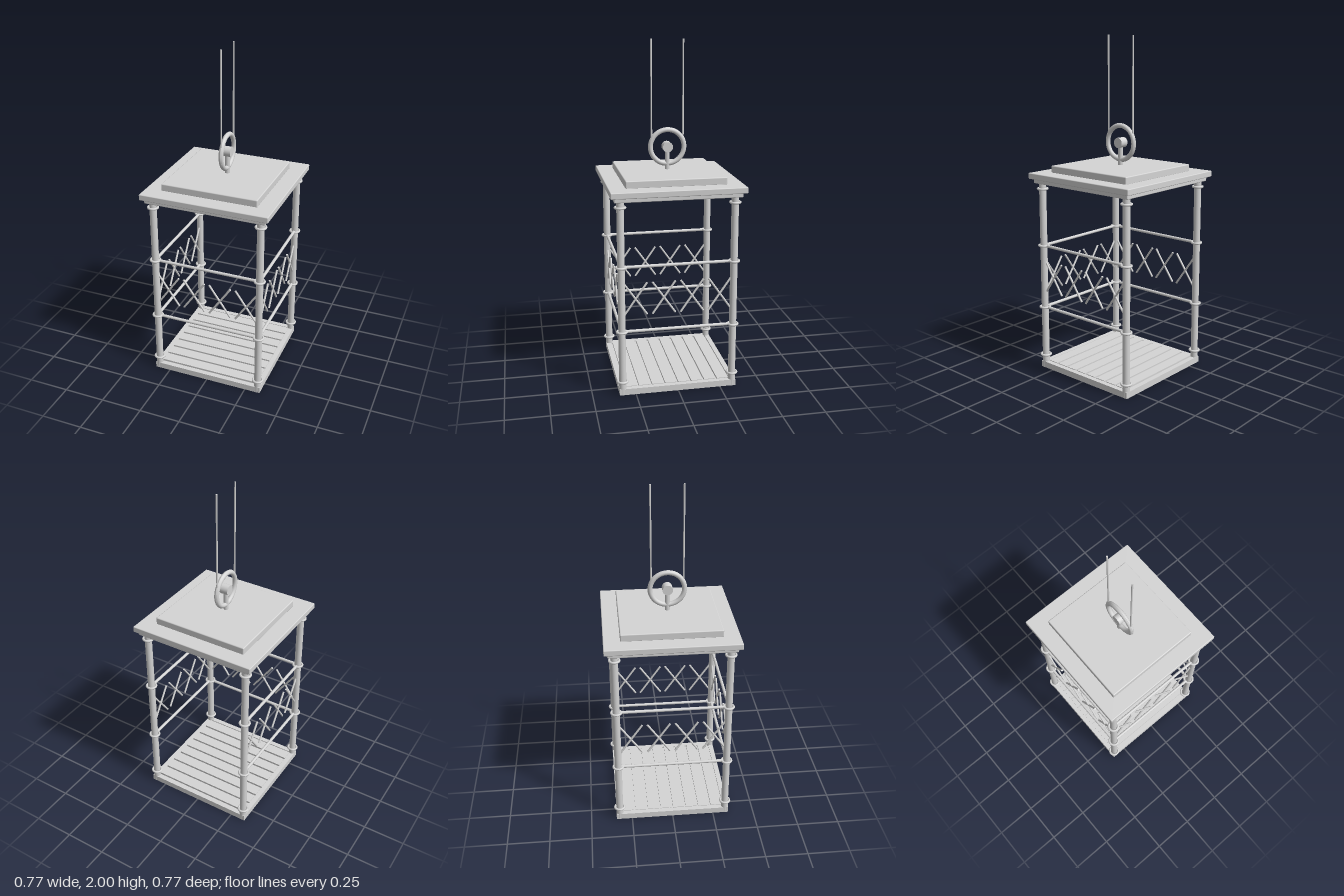
import * as THREE from 'three';
import { RoundedBoxGeometry } from 'three/addons/geometries/RoundedBoxGeometry.js';

export function createModel() {
  const root = new THREE.Group();
  const metal = new THREE.MeshStandardMaterial({ color: 0xd4d4d4 });
  metal.name = 'light grey metal';

  const add = (name, geometry, parent = root, x = 0, y = 0, z = 0) => {
    const mesh = new THREE.Mesh(geometry, metal);
    mesh.name = name;
    mesh.position.set(x, y, z);
    parent.add(mesh);
    return mesh;
  };
  const group = (name) => {
    const g = new THREE.Group();
    g.name = name;
    root.add(g);
    return g;
  };
  // Round bar between two points
  const bar = (name, a, b, radius, parent, sides = 16) => {
    const from = new THREE.Vector3(...a), to = new THREE.Vector3(...b);
    const dir = to.clone().sub(from);
    const mesh = add(name, new THREE.CylinderGeometry(radius, radius, dir.length(), sides), parent);
    mesh.position.copy(from).add(to).multiplyScalar(0.5);
    mesh.quaternion.setFromUnitVectors(new THREE.Vector3(0, 1, 0), dir.normalize());
  };
  // Slightly rounded slab, from y0 to y1
  const slab = (name, half, y0, y1, radius) =>
    add(name, new RoundedBoxGeometry(half * 2, y1 - y0, half * 2, 2, radius), root, 0, (y0 + y1) / 2, 0);

  const P = 0.325; // distance of the posts from the centre
  const railHeights = [0.387, 0.772];

  // Floor: plate, rim and planks running along x
  const floor = group('floor');
  add('floorPlate', new THREE.BoxGeometry(0.69, 0.028, 0.69), floor, 0, 0.014, 0);
  for (const s of [-1, 1]) {
    add('floorRim', new THREE.BoxGeometry(0.69, 0.037, 0.03), floor, 0, 0.0185, s * 0.33);
    add('floorRim', new THREE.BoxGeometry(0.03, 0.037, 0.63), floor, s * 0.33, 0.0185, 0);
  }
  for (let i = 0; i < 8; i++) {
    add('plank', new THREE.BoxGeometry(0.63, 0.015, 0.066), floor, 0, 0.033, (i - 3.5) * 0.078);
  }

  // Corner posts with ring collars
  const posts = group('posts');
  for (const x of [-P, P]) for (const z of [-P, P]) {
    bar('post', [x, 0, z], [x, 1.155, z], 0.021, posts, 24);
    for (const y of [0.08, ...railHeights, 1.117]) {
      const collar = add('collar', new THREE.TorusGeometry(0.028, 0.007, 10, 28), posts, x, y, z);
      collar.rotation.x = Math.PI / 2;
    }
  }

  // Railings with crossed bars on front and both sides; the back is the open doorway
  [['frontRailing', 0], ['leftRailing', Math.PI / 2], ['rightRailing', -Math.PI / 2]].forEach(([name, turn]) => {
    const railing = group(name);
    for (const y of railHeights) bar('rail', [-P, y, P], [P, y, P], 0.009, railing);
    for (let i = 0; i < 4; i++) {
      const cx = (i - 1.5) * 0.163;
      for (const s of [-1, 1]) {
        bar('crossBar', [cx - s * 0.066, 0.485, P], [cx + s * 0.066, 0.675, P], 0.006, railing);
      }
    }
    railing.rotation.y = turn;
  });

  // Stepped roof
  slab('roofLowerTrim', 0.362, 1.15, 1.178, 0.005);
  slab('roofSlab', 0.383, 1.176, 1.212, 0.005);
  slab('roofCap', 0.288, 1.208, 1.253, 0.006);

  // Pulley: round wheel rim with a raised band, hub, support and the two cables
  const pulley = group('pulley');
  const cy = 1.385;
  for (const [name, radius, tube] of [['wheel', 0.099, 0.014], ['wheelBand', 0.108, 0.006]]) {
    add(name, new THREE.TorusGeometry(radius, tube, 14, 48), pulley, 0, cy, 0).rotation.y = Math.PI / 2;
  }
  bar('hub', [-0.026, cy, 0], [0.026, cy, 0], 0.03, pulley, 28);
  bar('support', [0, 1.25, 0], [0, cy, 0], 0.0145, pulley);
  for (const s of [-1, 1]) bar('cable', [0, cy, s * 0.093], [0, 2, s * 0.093], 0.005, pulley);

  return root;
}
